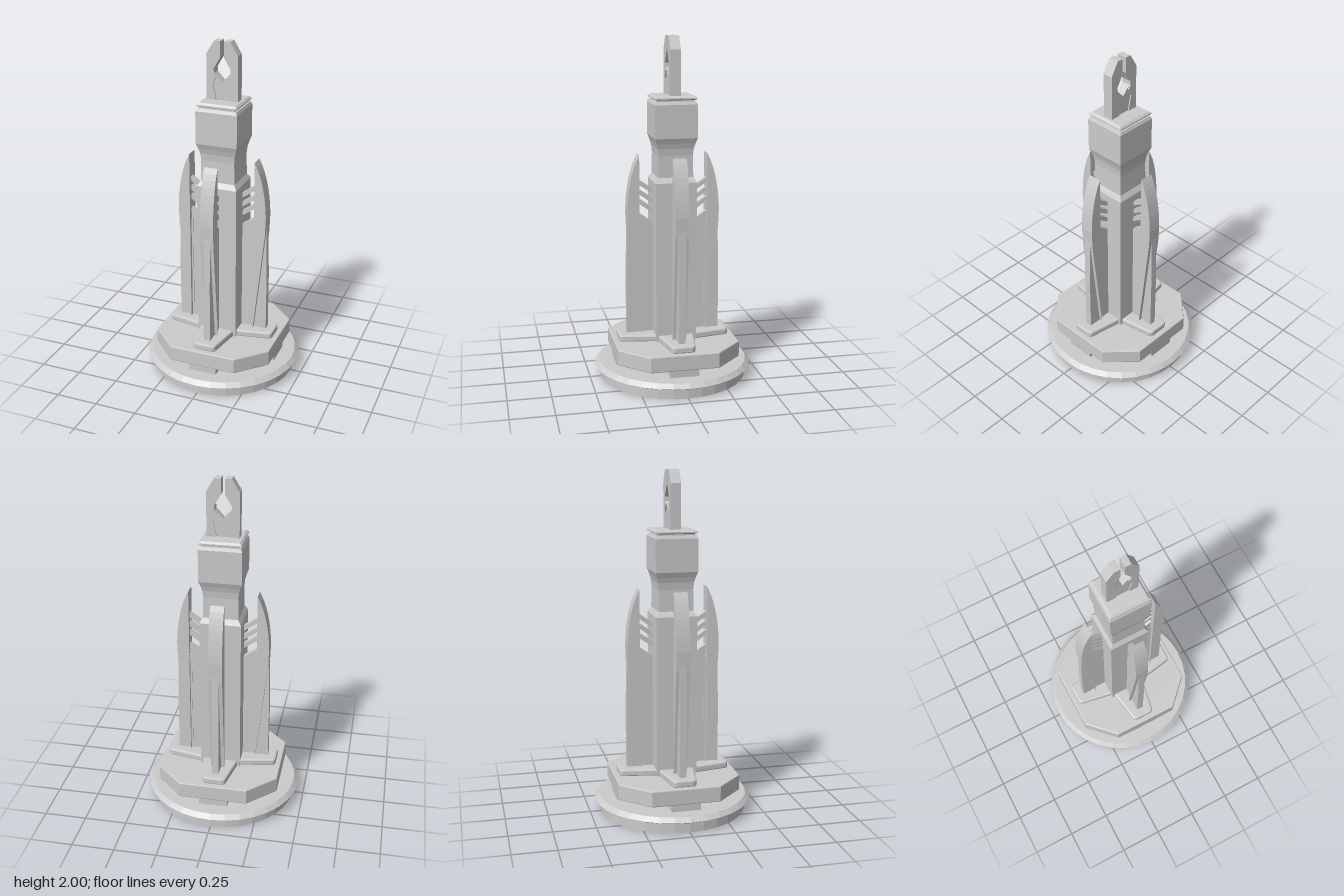
import * as THREE from 'three';

const grey = new THREE.MeshStandardMaterial({ color: 0xcccccc, flatShading: true });
const inner = new THREE.MeshStandardMaterial({ color: 0xcccccc, flatShading: true, side: THREE.BackSide });

function part(name, geometry, parent, material = grey) {
  const mesh = new THREE.Mesh(geometry, material);
  mesh.name = name;
  parent.add(mesh);
  return mesh;
}

const toShape = (pts) => new THREE.Shape(pts.map(([x, y]) => new THREE.Vector2(x, y)));

// Turned profile; four sides give a square section of the given half widths
function turned(profile, sides) {
  const k = sides === 4 ? Math.SQRT2 : 1;
  const g = new THREE.LatheGeometry(profile.map(([r, y]) => new THREE.Vector2(r * k, y)), sides);
  return sides === 4 ? g.rotateY(Math.PI / 4) : g;
}

// Upright plate drawn in x/y, centred on z
function plate(shape, width) {
  return new THREE.ExtrudeGeometry(shape, { depth: width, bevelEnabled: false, curveSegments: 8 })
    .translate(0, 0, -width / 2);
}

// Flat slab drawn in x/z with a small bevel, between y0 and y1
function slab(shape, y0, y1, bevel) {
  return new THREE.ExtrudeGeometry(shape, {
    depth: y1 - y0 - 2 * bevel, bevelThickness: bevel, bevelSize: bevel,
    bevelOffset: -bevel, bevelSegments: 2, curveSegments: 4,
  }).rotateX(-Math.PI / 2).translate(0, y0 + bevel, 0);
}

// One of the four identical sides, built towards +x
function createSide() {
  const side = new THREE.Group();
  side.name = 'buttressSide';

  // Support block under the deck
  part('supportBlock', new THREE.BoxGeometry(0.165, 0.06, 0.17).translate(0.27, 0.115, 0), side);

  // Tapered foot pad with rounded outer corners
  const pad = new THREE.Shape();
  pad.moveTo(0.1, -0.107);
  pad.lineTo(0.12, -0.104);
  pad.lineTo(0.31, -0.07);
  pad.quadraticCurveTo(0.328, -0.066, 0.33, -0.045);
  pad.lineTo(0.33, 0.045);
  pad.quadraticCurveTo(0.328, 0.066, 0.31, 0.07);
  pad.lineTo(0.12, 0.104);
  pad.lineTo(0.1, 0.107);
  part('footPad', slab(pad, 0.225, 0.268, 0.01), side);

  // Wide curved blade, tapering to its inner edge at the foot
  const blade = new THREE.Shape();
  blade.moveTo(0.2, 0.26);
  blade.lineTo(0.268, 0.89);
  blade.lineTo(0.272, 1.0);
  blade.quadraticCurveTo(0.265, 1.21, 0.2, 1.33);
  part('blade', plate(blade, 0.08), side);

  // Narrow rib in front of the tapering part
  const rib = toShape([[0.19, 0.26], [0.277, 0.26], [0.277, 0.6], [0.27, 0.92], [0.19, 0.92]]);
  part('rib', plate(rib, 0.04), side);

  // Thin web joining the blade to the tower
  const web = toShape([[0.11, 0.26], [0.21, 0.26], [0.21, 0.995], [0.11, 0.925]]);
  part('web', plate(web, 0.03), side);

  // Slanted slats above the web
  for (let i = 0; i < 3; i++) {
    const y = 0.98 + i * 0.056;
    const slat = toShape([[0.11, y], [0.21, y + 0.07], [0.21, y + 0.1], [0.11, y + 0.03]]);
    part('slat', plate(slat, 0.03), side);
  }
  return side;
}

export function createModel() {
  const model = new THREE.Group();
  model.name = 'tower';

  // Round base with a flared rim
  part('base', turned([[0.435, 0], [0.435, 0.055], [0.465, 0.07], [0.44, 0.095], [0, 0.095]], 32), model);

  // Underside with a rectangular recess
  const disc = [];
  for (let i = 0; i < 32; i++) {
    const a = (i * Math.PI) / 16;
    disc.push([0.435 * Math.cos(a), 0.435 * Math.sin(a)]);
  }
  const under = toShape(disc);
  under.holes.push(toShape([[-0.11, -0.05], [-0.11, 0.05], [0.11, 0.05], [0.11, -0.05]]));
  part('underside', new THREE.ShapeGeometry(under).rotateX(Math.PI / 2), model);
  part('recess', new THREE.BoxGeometry(0.22, 0.06, 0.1).translate(0, 0.03, 0), model, inner);

  // Eight-sided deck
  const deck = toShape([
    [0.36, -0.2], [0.36, 0.2], [0.2, 0.36], [-0.2, 0.36],
    [-0.36, 0.2], [-0.36, -0.2], [-0.2, -0.36], [0.2, -0.36],
  ]);
  part('deck', slab(deck, 0.135, 0.23, 0.006), model);

  // Square column with narrowed neck, head and cap plate
  part('column', turned([
    [0.12, 0.09], [0.12, 1.175], [0.102, 1.205], [0.1, 1.33], [0.104, 1.37], [0.112, 1.4],
    [0.123, 1.43], [0.123, 1.62], [0.115, 1.637], [0.106, 1.637],
  ], 4), model);
  part('capPlate', turned([
    [0.106, 1.63], [0.106, 1.644], [0.12, 1.65], [0.12, 1.657], [0.108, 1.668], [0, 1.668],
  ], 4), model);

  // Four buttresses
  for (let i = 0; i < 4; i++) {
    const side = createSide();
    side.rotation.y = (i * Math.PI) / 2;
    model.add(side);
  }

  // Claw: two mirrored prongs with thick outer edges on a thinner core
  const claw = new THREE.Group();
  claw.name = 'claw';
  model.add(claw);
  for (const s of [1, -1]) {
    const mirror = (pts) => toShape(pts.map(([x, y]) => [s * x, y]));
    part('prong', plate(mirror([
      [0.035, 1.66], [0.093, 1.66], [0.093, 1.925], [0.048, 2], [0.012, 2],
      [0.012, 1.91], [0.05, 1.845], [0.048, 1.82], [0.035, 1.8], [0.055, 1.76],
    ]), 0.06), claw);
    part('clawCore', plate(mirror([
      [0, 1.66], [0.06, 1.66], [0.06, 1.8], [0.046, 1.82], [0, 1.772],
    ]), 0.046), claw);
  }
  return model;
}
